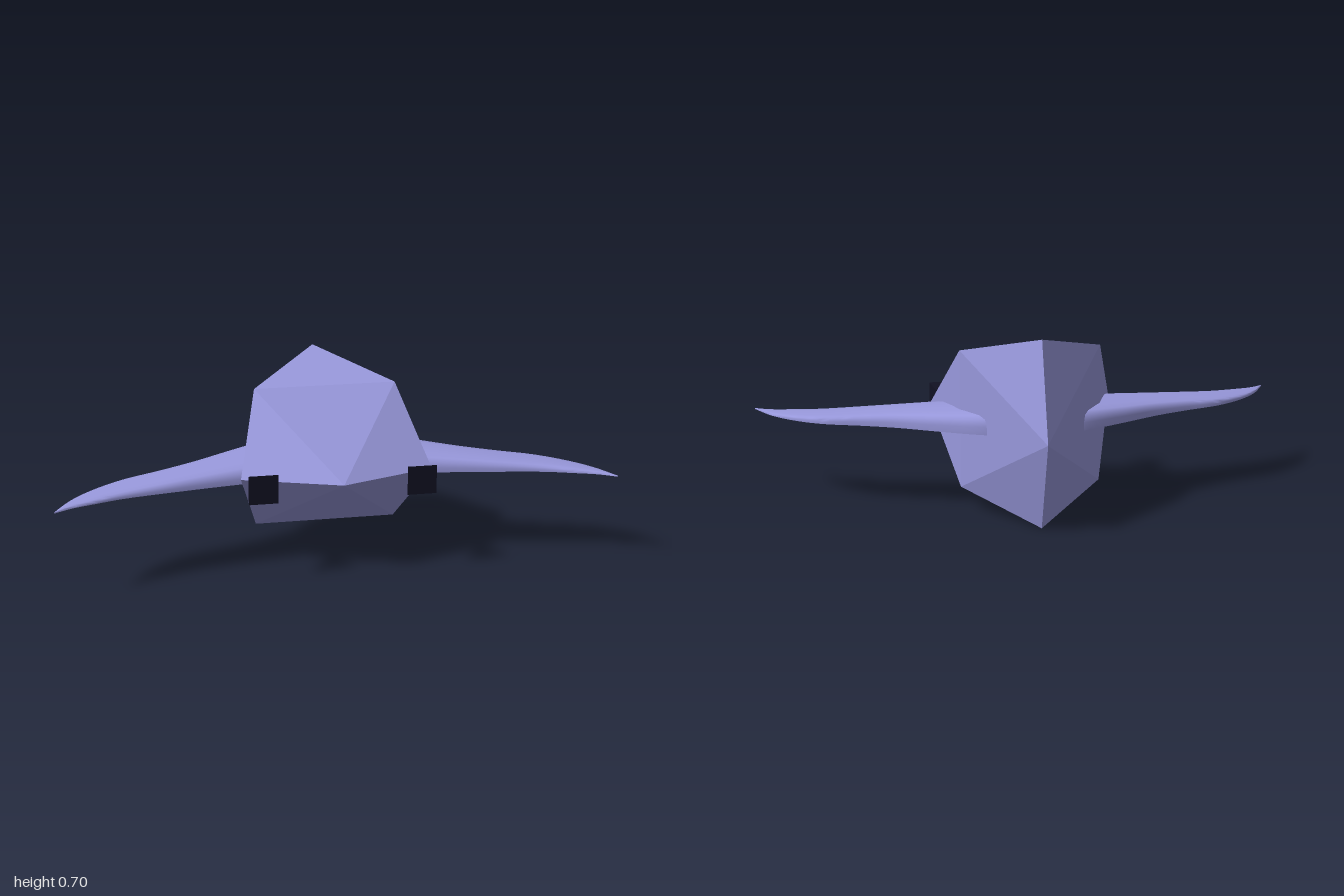
import * as THREE from 'three';
import { toCreasedNormals } from 'three/addons/utils/BufferGeometryUtils.js';
import { ConvexGeometry } from 'three/addons/geometries/ConvexGeometry.js';

const MID = 0.35;

// Faceted hull, symmetric in x and about the middle height
function bodyGeometry() {
  const points = [new THREE.Vector3(0, MID, 0.362), new THREE.Vector3(0, MID, -0.375)];
  for (const s of [-1, 1]) {
    points.push(new THREE.Vector3(0, MID + s * 0.349, -0.25));
    points.push(new THREE.Vector3(s * 0.345, MID, 0.237));
    for (const v of [-1, 1]) points.push(new THREE.Vector3(s * 0.26, MID + v * 0.26, 0));
  }
  return new ConvexGeometry(points);
}

// Swept wing: a flat-bottomed section lofted between the two outline edges
function wingGeometry() {
  const edge = (pts) => new THREE.CatmullRomCurve3(pts.map(([x, z]) => new THREE.Vector3(x, 0, z)));
  const back = edge([[0.1, -0.14], [0.2, -0.11], [0.35, -0.04], [0.49, 0.03], [0.62, 0.08],
    [0.755, 0.125], [0.86, 0.19], [0.94, 0.27], [1, 0.37]]);
  const front = edge([[0.1, 0.17], [0.2, 0.185], [0.34, 0.2], [0.46, 0.217], [0.57, 0.235],
    [0.755, 0.27], [0.86, 0.305], [0.94, 0.335], [1, 0.372]]);
  // chord fraction from back to front, height fraction
  const section = [[0, 0], [0, 0.4], [0.02, 0.75], [0.08, 0.9], [0.25, 0.97], [0.5, 1],
    [0.75, 0.97], [0.92, 0.83], [0.98, 0.6], [1, 0.3], [1, 0], [0.5, 0]];
  const steps = 40, n = section.length;
  const positions = [], index = [];
  for (let i = 0; i <= steps; i++) {
    const b = back.getPoint(i / steps), f = front.getPoint(i / steps);
    for (const [c, k] of section) {
      const x = THREE.MathUtils.lerp(b.x, f.x, c);
      const h = 0.004 + 0.09 * Math.max(0, 1 - x) * 0.98;
      positions.push(x, 0.32 + k * h, THREE.MathUtils.lerp(b.z, f.z, c));
    }
    if (i === steps) break;
    for (let j = 0; j < n; j++) {
      const a = i * n + j, d = i * n + (j + 1) % n;
      index.push(a, d, a + n, d, d + n, a + n);
    }
  }
  const geometry = new THREE.BufferGeometry();
  geometry.setAttribute('position', new THREE.Float32BufferAttribute(positions, 3));
  geometry.setIndex(index);
  return toCreasedNormals(geometry, Math.PI / 3);
}

export function createModel() {
  const model = new THREE.Group();
  const hullMaterial = new THREE.MeshStandardMaterial({ color: 0x9999dd, flatShading: true });
  const wingMaterial = new THREE.MeshStandardMaterial({ color: 0x9999dd, side: THREE.DoubleSide });
  const darkMaterial = new THREE.MeshStandardMaterial({ color: 0x111122, flatShading: true });

  const body = new THREE.Mesh(bodyGeometry(), hullMaterial);
  body.name = 'body';
  model.add(body);

  // Four-sided pyramid, apex towards the back
  const pyramid = new THREE.ConeGeometry(0.074, 0.095, 4, 1);
  pyramid.rotateY(Math.PI / 4);
  pyramid.rotateX(-Math.PI / 2);
  const wing = wingGeometry();

  for (const [side, s] of [['left', 1], ['right', -1]]) {
    const wingMesh = new THREE.Mesh(wing, wingMaterial);
    wingMesh.name = side + 'Wing';
    wingMesh.scale.x = s;
    model.add(wingMesh);

    const thruster = new THREE.Mesh(pyramid, darkMaterial);
    thruster.name = side + 'Nozzle';
    thruster.position.set(s * 0.282, 0.348, 0.302);
    model.add(thruster);
  }
  return model;
}
